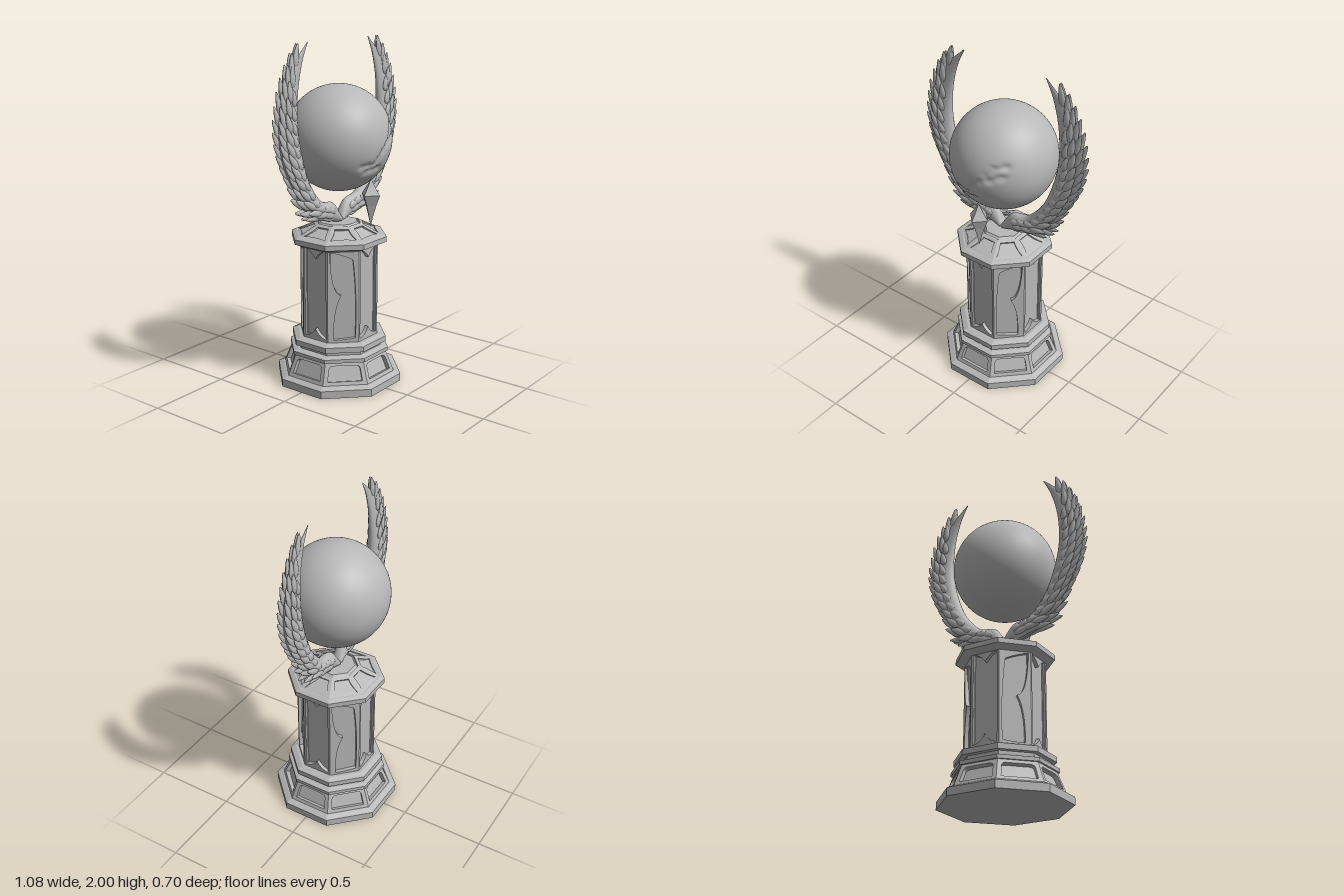
import * as THREE from 'three';
import { mergeGeometries } from 'three/addons/utils/BufferGeometryUtils.js';
import { ParametricGeometry } from 'three/addons/geometries/ParametricGeometry.js';

const V = (x, y) => new THREE.Vector2(x, y);
const TAN = Math.tan(Math.PI / 8);

export function createModel() {
  const model = new THREE.Group();
  const stone = new THREE.MeshStandardMaterial({ color: 0xb8b8b8 });

  function add(name, geometry, parent = model) {
    const mesh = new THREE.Mesh(geometry, stone);
    mesh.name = name;
    parent.add(mesh);
    return mesh;
  }

  function faceted(geometry) {
    const g = geometry.index ? geometry.toNonIndexed() : geometry;
    g.computeVertexNormals();
    return g;
  }

  // Octagonal block; a0 and a1 are centre-to-flat distances below and above
  function octagon(name, a0, a1, y0, y1) {
    const c = Math.cos(Math.PI / 8);
    const g = new THREE.CylinderGeometry(a1 / c, a0 / c, y1 - y0, 8);
    g.rotateY(Math.PI / 8).translate(0, (y0 + y1) / 2, 0);
    return add(name, faceted(g));
  }

  // Eight pierced plates leaning over an octagonal core
  function frames(name, a0, a1, y0, y1, depth, makeHole) {
    const group = new THREE.Group();
    group.name = name;
    const h = Math.hypot(y1 - y0, a0 - a1);
    for (let k = 0; k < 8; k++) {
      const s = new THREE.Shape([V(-a0 * TAN, 0), V(a0 * TAN, 0), V(a1 * TAN, h), V(-a1 * TAN, h)]);
      s.holes.push(makeHole(k, h));
      const g = new THREE.ExtrudeGeometry(s, { depth, bevelEnabled: false, curveSegments: 10 });
      g.translate(0, 0, -depth).rotateX(-Math.atan2(a0 - a1, y1 - y0));
      g.translate(0, y0, a0).rotateY(k * Math.PI / 4);
      add(name + 'Plate', g, group);
    }
    model.add(group);
  }

  // Foot with arched recesses
  octagon('plinth', 0.35, 0.35, 0, 0.045);
  octagon('plinthBevel', 0.35, 0.32, 0.045, 0.06);
  octagon('footCore', 0.285, 0.235, 0.06, 0.19);
  frames('footFrame', 0.312, 0.265, 0.06, 0.185, 0.028, (k, h) => {
    const p = new THREE.Path();
    p.moveTo(-0.1, 0.022);
    p.lineTo(0.1, 0.022);
    p.lineTo(0.092, h - 0.045);
    p.quadraticCurveTo(0.088, h - 0.022, 0.065, h - 0.022);
    p.lineTo(-0.065, h - 0.022);
    p.quadraticCurveTo(-0.088, h - 0.022, -0.092, h - 0.045);
    p.closePath();
    return p;
  });
  octagon('footLedge', 0.278, 0.278, 0.183, 0.205);
  octagon('footLedgeBevel', 0.278, 0.25, 0.205, 0.215);
  octagon('neck', 0.235, 0.235, 0.21, 0.245);
  octagon('columnLedge', 0.265, 0.265, 0.24, 0.272);
  octagon('columnLedgeBevel', 0.265, 0.235, 0.272, 0.285);

  // Column with carved recesses; diagonal faces carry a thorn
  octagon('columnCore', 0.195, 0.195, 0.28, 0.84);
  frames('columnCarving', 0.217, 0.217, 0.28, 0.84, 0.025, (k, h) => {
    const p = new THREE.Path();
    if (k % 2 === 0) {
      p.moveTo(-0.076, 0.02);
      p.quadraticCurveTo(-0.02, 0.03, 0, 0.075);
      p.quadraticCurveTo(0.02, 0.03, 0.076, 0.02);
      p.lineTo(0.076, h - 0.01);
      p.quadraticCurveTo(0.03, h - 0.02, 0, h - 0.065);
      p.quadraticCurveTo(-0.03, h - 0.02, -0.076, h - 0.01);
    } else {
      const m = k % 4 === 1 ? 1 : -1;
      p.moveTo(-0.07 * m, 0.03);
      p.quadraticCurveTo(0, 0.02, 0.055 * m, 0.02);
      p.quadraticCurveTo(0.06 * m, 0.2, 0.012 * m, 0.29);
      p.quadraticCurveTo(0.07 * m, 0.3, 0.078 * m, h - 0.015);
      p.quadraticCurveTo(0, h - 0.03, -0.055 * m, h - 0.06);
      p.quadraticCurveTo(-0.082 * m, h / 2, -0.07 * m, 0.03);
    }
    p.closePath();
    return p;
  });

  // Capital
  octagon('capUnderside', 0.222, 0.262, 0.83, 0.85);
  octagon('capLedge', 0.265, 0.265, 0.85, 0.88);
  octagon('capLedgeBevel', 0.265, 0.24, 0.88, 0.892);
  octagon('capRoofCore', 0.225, 0.1, 0.89, 0.948);
  frames('capRoofFrame', 0.236, 0.12, 0.89, 0.952, 0.012, (k, h) => {
    const p = new THREE.Path();
    p.moveTo(-0.075, 0.015);
    p.quadraticCurveTo(0, 0.03, 0.075, 0.015);
    p.quadraticCurveTo(0.045, h * 0.5, 0.04, h - 0.025);
    p.lineTo(-0.04, h - 0.025);
    p.quadraticCurveTo(-0.045, h * 0.5, -0.075, 0.015);
    return p;
  });
  octagon('capTop', 0.12, 0.105, 0.94, 0.957);

  // Globe with a shallow carved furrow on the front
  const R = 0.306;
  const globe = new THREE.SphereGeometry(R, 128, 96);
  const furrows = [
    [V(-0.11, -0.125), V(-0.03, -0.12), V(0.01, -0.055), V(0.075, 0), V(0.13, 0.08), V(0.185, 0.095)],
    [V(-0.07, -0.16), V(0.01, -0.145)],
    [V(0.075, 0), V(0.13, 0.015), V(0.185, 0.04)],
  ];
  const pos = globe.attributes.position, v = new THREE.Vector3(), q = new THREE.Vector3();
  const seg = new THREE.Line3();
  for (let i = 0; i < pos.count; i++) {
    v.fromBufferAttribute(pos, i);
    if (v.z < 0) continue;
    let d = 1;
    for (const line of furrows) {
      for (let j = 0; j + 1 < line.length; j++) {
        seg.start.set(line[j].x, line[j].y, 0);
        seg.end.set(line[j + 1].x, line[j + 1].y, 0);
        const flat = new THREE.Vector3(v.x, v.y, 0);
        d = Math.min(d, seg.closestPointToPoint(flat, true, q).distanceTo(flat));
      }
    }
    d += 0.005 * Math.sin(v.x * 90) * Math.cos(v.y * 70);
    v.setLength(R - 0.012 * Math.exp(-((d / 0.016) ** 2)));
    pos.setXYZ(i, v.x, v.y, v.z);
  }
  globe.computeVertexNormals();
  add('globe', globe).position.y = 1.445;

  // Pendant crystal
  const crystal = new THREE.LatheGeometry(
    [V(0.0005, 0.96), V(0.02, 1.03), V(0.038, 1.085), V(0.063, 1.145), V(0.03, 1.19), V(0.0005, 1.235)], 4);
  add('crystal', faceted(crystal)).position.z = 0.23;

  // Wing outline: inner and outer edges, root to tip
  const curve = (pts) => new THREE.SplineCurve(pts.map(([x, y]) => V(x, y)));
  const inner = curve([[0, 0.99], [0.06, 1.075], [0.17, 1.105], [0.275, 1.225], [0.34, 1.39],
    [0.37, 1.55], [0.36, 1.735], [0.32, 1.89], [0.27, 1.995]]);
  const outer = curve([[0.01, 0.945], [0.14, 0.965], [0.3, 1.04], [0.41, 1.2], [0.485, 1.33],
    [0.52, 1.48], [0.505, 1.66], [0.425, 1.85], [0.272, 2]]);
  const half = curve([[0, 0.034], [1, 0.036], [2, 0.04], [3, 0.044], [4, 0.046],
    [5, 0.042], [6, 0.026], [7, 0.012], [8, 0.001]]);

  const parts = [new ParametricGeometry((u, t, target) => {
    const a = inner.getPoint(t), b = outer.getPoint(t);
    b.lerpVectors(a, b, 0.84 + 0.16 * t ** 3);
    const ang = u * Math.PI * 2;
    const p = a.lerp(b, 0.5 + 0.5 * Math.cos(ang));
    target.set(p.x, p.y, -half.getPoint(t).y * Math.sin(ang));
  }, 20, 48)];

  function feather(t, f, z, length, width, thick, angle) {
    const a = inner.getPoint(t), b = outer.getPoint(t);
    const root = a.clone().lerp(b, f);
    const out = b.clone().sub(a).normalize();
    const along = inner.getTangent(t).add(outer.getTangent(t)).normalize();
    const dir = along.multiplyScalar(Math.cos(angle)).addScaledVector(out, Math.sin(angle));
    const g = new THREE.SphereGeometry(1, 10, 8), p = g.attributes.position;
    for (let i = 0; i < p.count; i++) {
      const s = (p.getY(i) + 1) / 2, taper = 1.15 - 0.6 * s;
      p.setXYZ(i, p.getX(i) * width * taper - 0.15 * width * s * s, s * length, p.getZ(i) * thick * taper);
    }
    g.computeVertexNormals();
    g.rotateZ(Math.atan2(-dir.x, dir.y)).translate(root.x, root.y, z);
    parts.push(g);
  }

  // Overlapping feather rows on both faces, and a serrated trailing edge
  const rows = [
    { f: 0.3, n: 13, len: 0.09, end: 0.72, angle: 0.3 },
    { f: 0.52, n: 14, len: 0.12, end: 0.8, angle: 0.33 },
  ];
  for (const r of rows) {
    for (let i = 0; i < r.n; i++) {
      const t = 0.1 + (r.end - 0.1) * i / (r.n - 1);
      const z = half.getPoint(t).y * 0.86;
      for (const side of [-1, 1]) feather(t, r.f, side * z, r.len, 0.024, 0.013, r.angle);
    }
  }
  for (let i = 0; i < 18; i++) {
    const t = 0.08 + 0.8 * i / 17;
    const w = inner.getPoint(t).distanceTo(outer.getPoint(t));
    const z = half.getPoint(t).y * 0.5;
    for (const side of [-1, 1]) feather(t, 0.64, side * z, 0.07 + w * 0.55, 0.024, 0.012, 0.36);
  }

  const wing = mergeGeometries(parts);
  add('leftWing', wing);
  add('rightWing', wing).rotation.y = Math.PI;

  return model;
}
